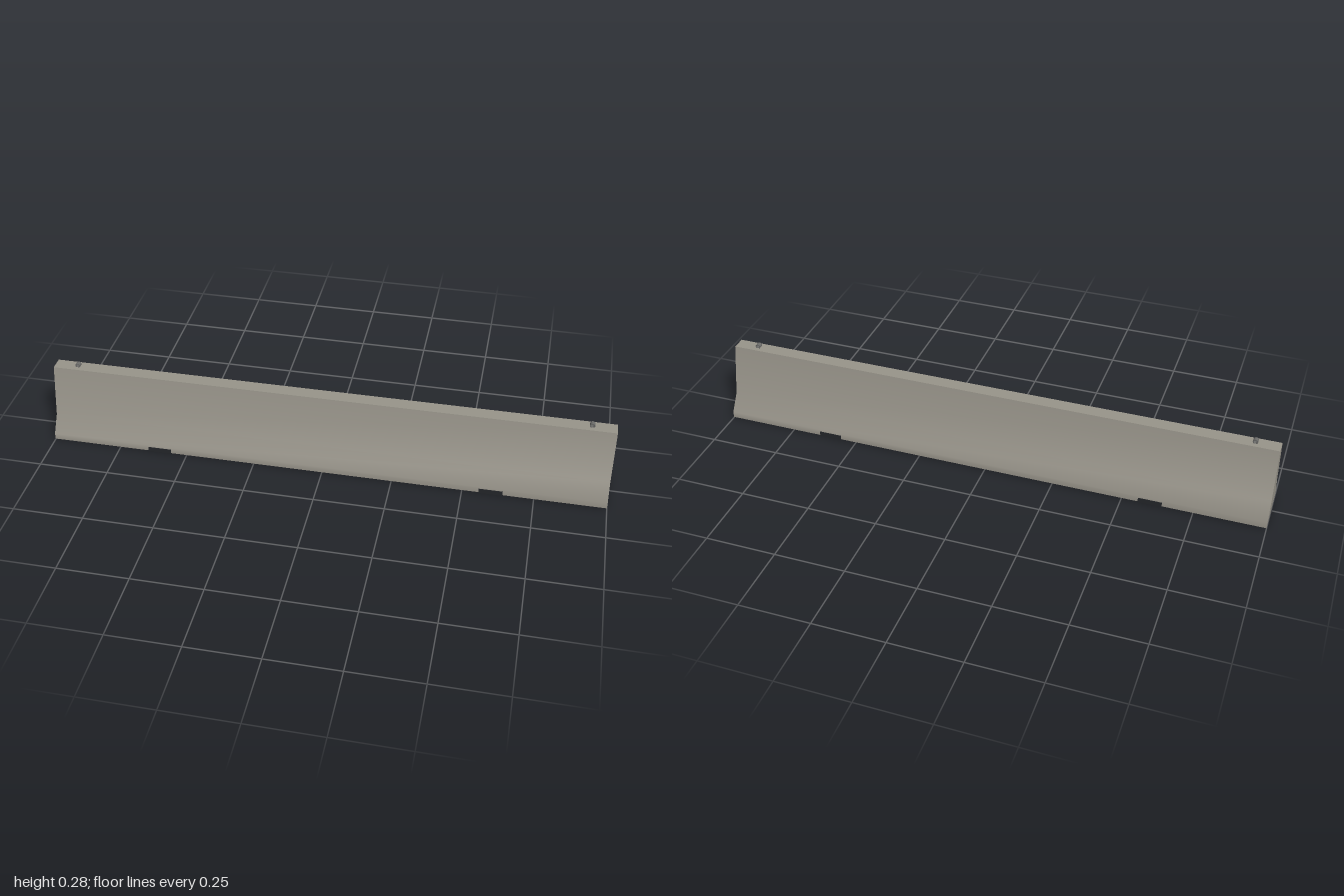
import * as THREE from 'three';
import { toCreasedNormals } from 'three/addons/utils/BufferGeometryUtils.js';

export function createModel() {
  const group = new THREE.Group();
  const material = (name, color) => {
    const m = new THREE.MeshStandardMaterial({ color });
    m.name = name;
    return m;
  };
  const concrete = material('concrete', 0x98948a);
  const rubber = material('darkRubber', 0x24262a);
  const steel = material('steel', 0x6c6c6a);

  const add = (name, geometry, mat, x = 0, y = 0, z = 0) => {
    const mesh = new THREE.Mesh(geometry, mat);
    mesh.name = name;
    mesh.position.set(x, y, z);
    group.add(mesh);
    return mesh;
  };

  // Barrier body: flared section swept along x, softly shaded across the flare
  const half = [[0.1, 0.002], [0.1, 0.025], [0.06, 0.086], [0.025, 0.27]];
  const outline = [...half, ...half.map(([z, y]) => [-z, y]).reverse()];
  const section = new THREE.Shape(outline.map(([z, y]) => new THREE.Vector2(z, y)));
  const body = new THREE.ExtrudeGeometry(section, { depth: 2, bevelEnabled: false });
  body.translate(0, 0, -1).rotateY(Math.PI / 2);
  add('barrierBody', toCreasedNormals(body, 0.7), concrete);

  // Lifting eye: short hollow sleeve along z
  const ring = new THREE.Shape().absarc(0, 0, 0.009, 0, Math.PI * 2);
  ring.holes.push(new THREE.Path().absarc(0, 0, 0.0055, 0, Math.PI * 2, true));
  const eye = toCreasedNormals(
    new THREE.ExtrudeGeometry(ring, { depth: 0.016, bevelEnabled: false, curveSegments: 8 }), 0.9);
  eye.translate(0, 0, -0.008);

  // Pads wrapping the foot and lifting eyes, mirrored at both ends
  const pad = new THREE.BoxGeometry(0.084, 0.018, 0.203);
  for (const [side, s] of [['left', 1], ['right', -1]]) {
    add(side + 'FootPad', pad, rubber, s * 0.6, 0.009, 0);
    add(side + 'LiftingEye', eye, steel, s * 0.915, 0.276, 0);
  }
  return group;
}
